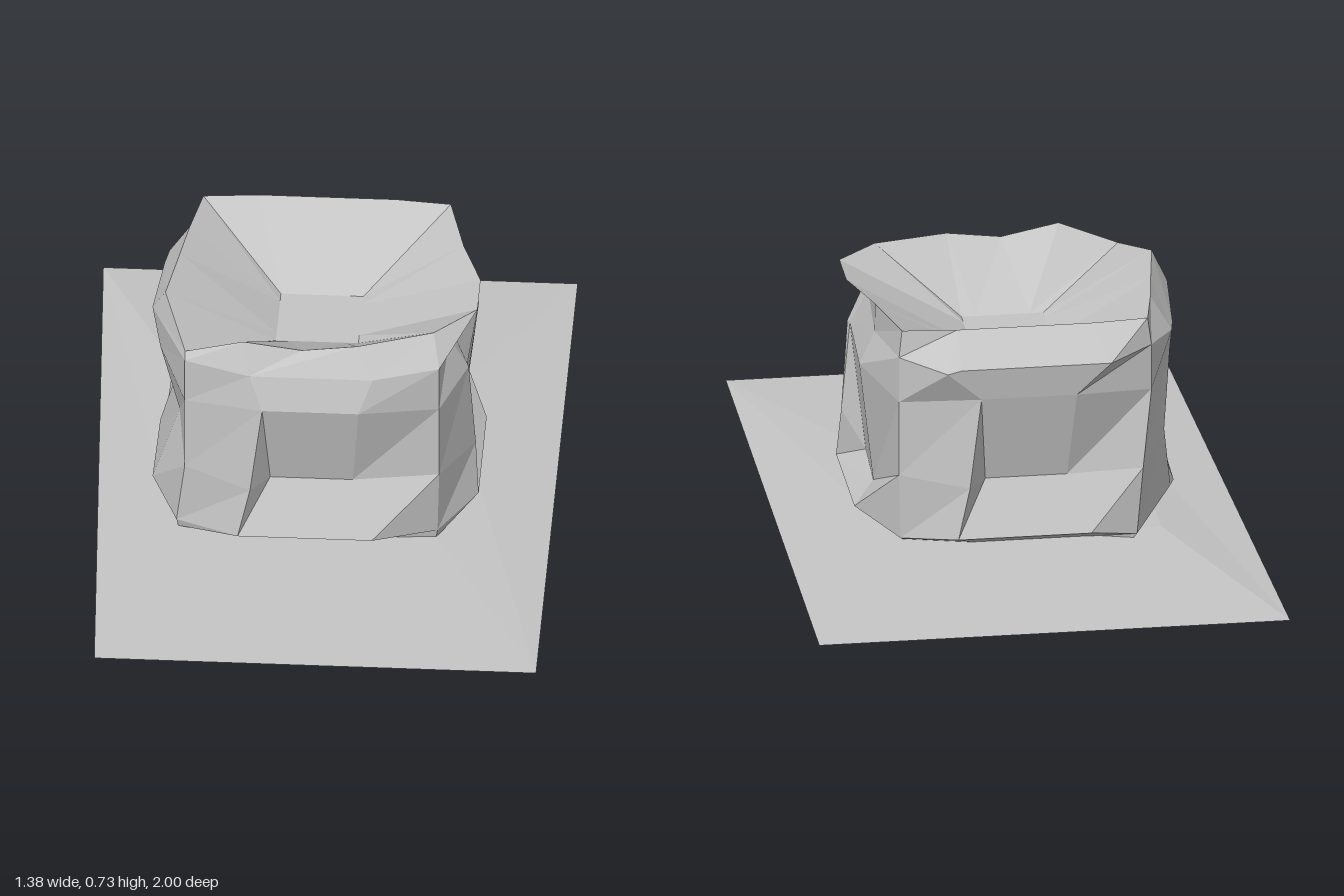
import * as THREE from 'three';

const stone = new THREE.MeshStandardMaterial({ color: 0xc4c4c4, side: THREE.DoubleSide, flatShading: true });
stone.name = 'plain grey';

// Skins a stack of equal-length rings, closing the first and last with fans
function loft(rings, name) {
  const n = rings[0].length;
  const pos = rings.flat(2), idx = [];
  for (let k = 0; k < rings.length - 1; k++) {
    for (let i = 0; i < n; i++) {
      const a = k * n + i, b = k * n + (i + 1) % n;
      idx.push(a, b, b + n, a, b + n, a + n);
    }
  }
  const last = (rings.length - 1) * n;
  for (let i = 1; i < n - 1; i++) {
    idx.push(0, i + 1, i);
    idx.push(last, last + i, last + i + 1);
  }
  const g = new THREE.BufferGeometry();
  g.setAttribute('position', new THREE.Float32BufferAttribute(pos, 3));
  g.setIndex(idx);
  const flat = g.toNonIndexed();
  flat.computeVertexNormals();
  const mesh = new THREE.Mesh(flat, stone);
  mesh.name = name;
  return mesh;
}

// Sixteen-point ring: corner, niche jamb and two niche points for front, right, back, left
function towerRing(yCorner, ySide, corner, width, depth, jambX = -width, jambZ = depth) {
  const pts = [];
  for (let s = 0; s < 4; s++) {
    const local = [[-corner, yCorner, corner], [jambX, ySide, jambZ], [-width, ySide, depth], [width, ySide, depth]];
    for (let [x, y, z] of local) {
      for (let t = 0; t < s; t++) [x, z] = [z, -x];
      pts.push([x, y, z]);
    }
  }
  return pts;
}

// Replaces chosen points of a ring
const adjust = (ring, changes) => ring.map((p, i) => changes[i] ?? p);

export function createModel() {
  const group = new THREE.Group();
  group.name = 'hollowBlockOnSlab';

  // Block with four corner piers, a niche in each side and a shallow hollow top
  const foot = adjust(towerRing(0.04, 0.05, 0.36, 0.15, 0.38), {
    0: [-0.39, 0.045, 0.35], 8: [0.36, 0.065, -0.36], 12: [-0.31, 0.055, -0.42],
  });
  const sill = adjust(towerRing(0.07, 0.1, 0.365, 0.18, 0.475, -0.21), {
    0: [-0.395, 0.07, 0.355], 12: [-0.32, 0.07, -0.425],
    13: [-0.455, 0.1, -0.15], 14: [-0.47, 0.1, -0.11],
  });
  const nicheFoot = adjust(towerRing(0.27, 0.255, 0.37, 0.12, 0.39, -0.175, 0.465), {
    6: [0.4, 0.15, 0.12], 7: [0.41, 0.15, -0.11],
    12: [-0.34, 0.27, -0.41], 13: [-0.43, 0.3, -0.2], 14: [-0.4, 0.32, -0.15], 15: [-0.4, 0.3, 0.12],
  });
  const nicheHead = adjust(towerRing(0.5, 0.53, 0.37, 0.14, 0.455), {
    5: [0.445, 0.53, 0.19], 6: [0.44, 0.53, 0.17],
  });
  // Uneven shoulder and rim: bulging on the left, flared outward on the right
  const shoulder = adjust(towerRing(0.64, 0.63, 0.37, 0.18, 0.425), {
    5: [0.39, 0.64, 0.21], 6: [0.39, 0.64, 0.15], 7: [0.41, 0.63, -0.14],
    9: [0.24, 0.62, -0.47], 10: [0.2, 0.63, -0.47], 11: [-0.24, 0.63, -0.47],
    13: [-0.45, 0.62, -0.22], 14: [-0.46, 0.62, -0.16], 15: [-0.48, 0.64, 0.1],
  });
  const rim = adjust(towerRing(0.72, 0.72, 0.36, 0.2, 0.375), {
    0: [-0.37, 0.66, 0.35], 1: [-0.2, 0.72, 0.38], 2: [-0.03, 0.69, 0.37], 3: [0.13, 0.71, 0.37],
    4: [0.35, 0.72, 0.3], 5: [0.47, 0.725, 0.18], 6: [0.47, 0.725, 0.03], 7: [0.41, 0.72, -0.15],
    13: [-0.39, 0.72, -0.2], 14: [-0.41, 0.72, -0.06], 15: [-0.44, 0.72, 0.14],
  });
  const hollowFloor = towerRing(0.55, 0.55, 0.12, 0.08, 0.12);
  group.add(loft([foot, sill, nicheFoot, nicheHead, shoulder, rim, hollowFloor], 'hollowBlock'));

  // Thin slab, slightly raised under the block, more so toward the back
  const quad = (l, r, f, b, yFront, yBack) => [[-l, yFront, f], [r, yFront, f], [r, yBack, -b], [-l, yBack, -b]];
  const edge = quad(0.69, 0.69, 1, 1, 0.015, 0.015);
  edge[0][0] = -0.595;
  group.add(loft([quad(0.45, 0.45, 0.8, 0.7, 0, 0.01), edge, quad(0.4, 0.36, 0.36, 0.36, 0.045, 0.06)], 'baseSlab'));

  return group;
}
